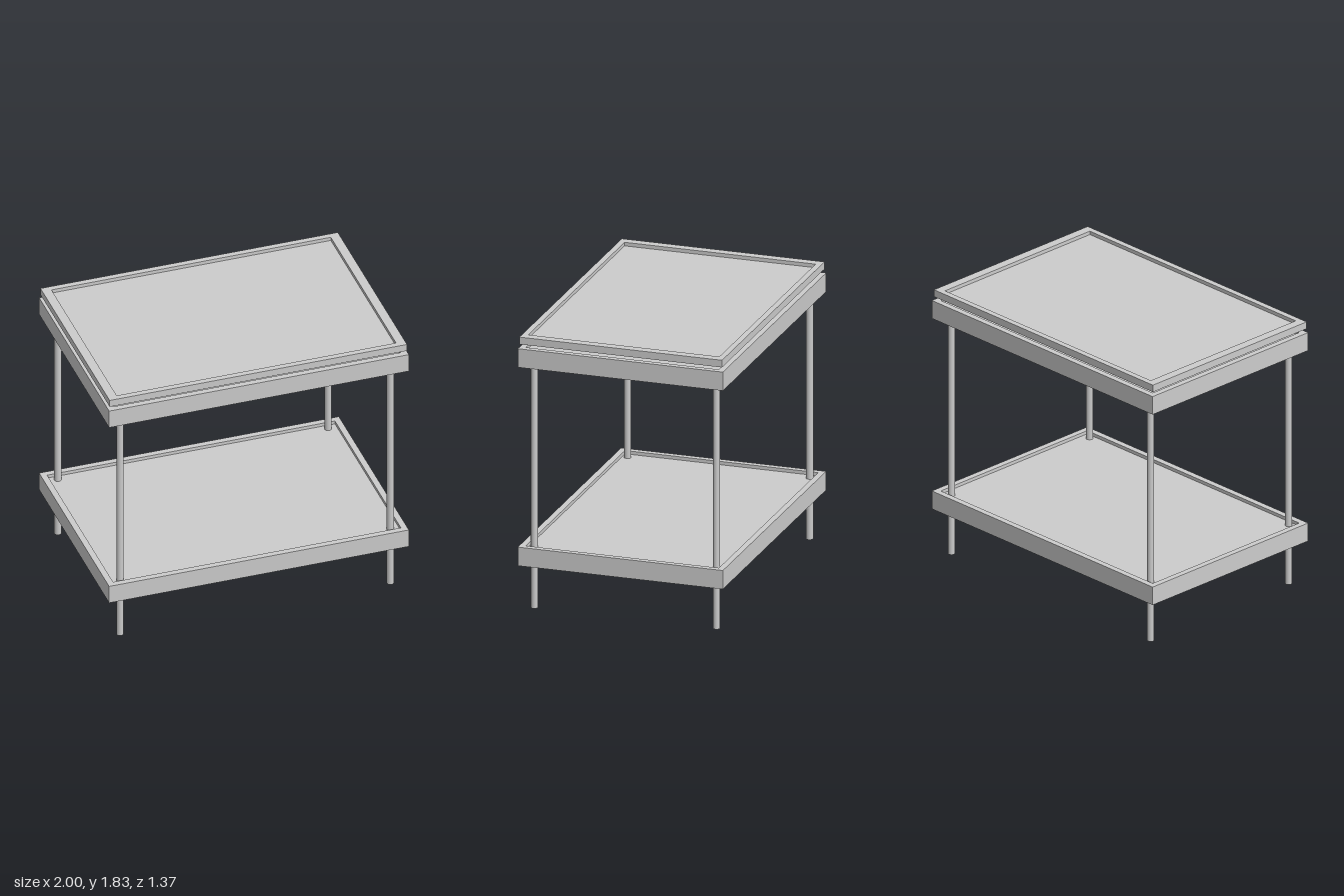
import * as THREE from 'three';

const mat = new THREE.MeshStandardMaterial({ color: 0xcccccc });

function addMesh(parent, geometry, name, x = 0, y = 0, z = 0) {
  const mesh = new THREE.Mesh(geometry, mat);
  mesh.name = name;
  mesh.position.set(x, y, z);
  parent.add(mesh);
  return mesh;
}

// Rectangular rim, extruded upwards from y = 0
function rimGeometry(hx, hz, wall, height) {
  const rect = (P, a, b) => {
    const p = new P();
    p.moveTo(-a, -b).lineTo(a, -b).lineTo(a, b).lineTo(-a, b).closePath();
    return p;
  };
  const shape = rect(THREE.Shape, hx, hz);
  shape.holes.push(rect(THREE.Path, hx - wall, hz - wall));
  return new THREE.ExtrudeGeometry(shape, { depth: height, bevelEnabled: false }).rotateX(-Math.PI / 2);
}

// Closed solid from rectangular rings [halfX, y, halfZ], listed from the bottom centre outwards, up and back in
function ringSolid(rings) {
  const corners = rings.map(([x, y, z]) => [[x, y, z], [x, y, -z], [-x, y, -z], [-x, y, z]]);
  const pos = [];
  const quad = (a, b, c, d) => pos.push(...a, ...b, ...c, ...a, ...c, ...d);
  for (let i = 0; i < corners.length - 1; i++) {
    for (let k = 0; k < 4; k++) {
      const n = (k + 1) % 4;
      quad(corners[i][k], corners[i][n], corners[i + 1][n], corners[i + 1][k]);
    }
  }
  const [b0, b1, b2, b3] = corners[0];
  quad(b3, b2, b1, b0);
  quad(...corners[corners.length - 1]);
  const g = new THREE.BufferGeometry();
  g.setAttribute('position', new THREE.Float32BufferAttribute(pos, 3));
  g.computeVertexNormals();
  return g;
}

export function createModel() {
  const model = new THREE.Group();
  model.name = 'trayTable';

  // Two framed shelves, panel recessed above and below
  const HX = 1, HZ = 0.685, WALL = 0.04, H = 0.125, RECESS = 0.022;
  for (const [name, y] of [['lowerShelf', 0.302], ['upperShelf', 1.63]]) {
    const shelf = new THREE.Group();
    shelf.name = name;
    shelf.position.y = y;
    addMesh(shelf, rimGeometry(HX, HZ, WALL, H), 'shelfFrame');
    addMesh(shelf, new THREE.BoxGeometry(2 * (HX - WALL), H - 2 * RECESS, 2 * (HZ - WALL)), 'shelfPanel', 0, H / 2);
    model.add(shelf);
  }

  // Four round legs
  const legTop = 1.67;
  const leg = new THREE.CylinderGeometry(0.023, 0.023, legTop, 24);
  for (const sx of [-1, 1]) {
    for (const sz of [-1, 1]) {
      addMesh(model, leg, `${sz > 0 ? 'front' : 'back'}${sx > 0 ? 'Left' : 'Right'}Leg`, sx * 0.902, legTop / 2, sz * 0.608);
    }
  }

  // Loose tray: sloping underside, overhanging lip and shallow recess
  addMesh(model, ringSolid([
    [0.77, 1.734, 0.55],
    [0.937, 1.782, 0.642],
    [0.992, 1.782, 0.677],
    [0.992, 1.83, 0.677],
    [0.932, 1.83, 0.638],
    [0.932, 1.806, 0.638],
  ]), 'tray', -0.002, 0, 0.001);

  return model;
}
